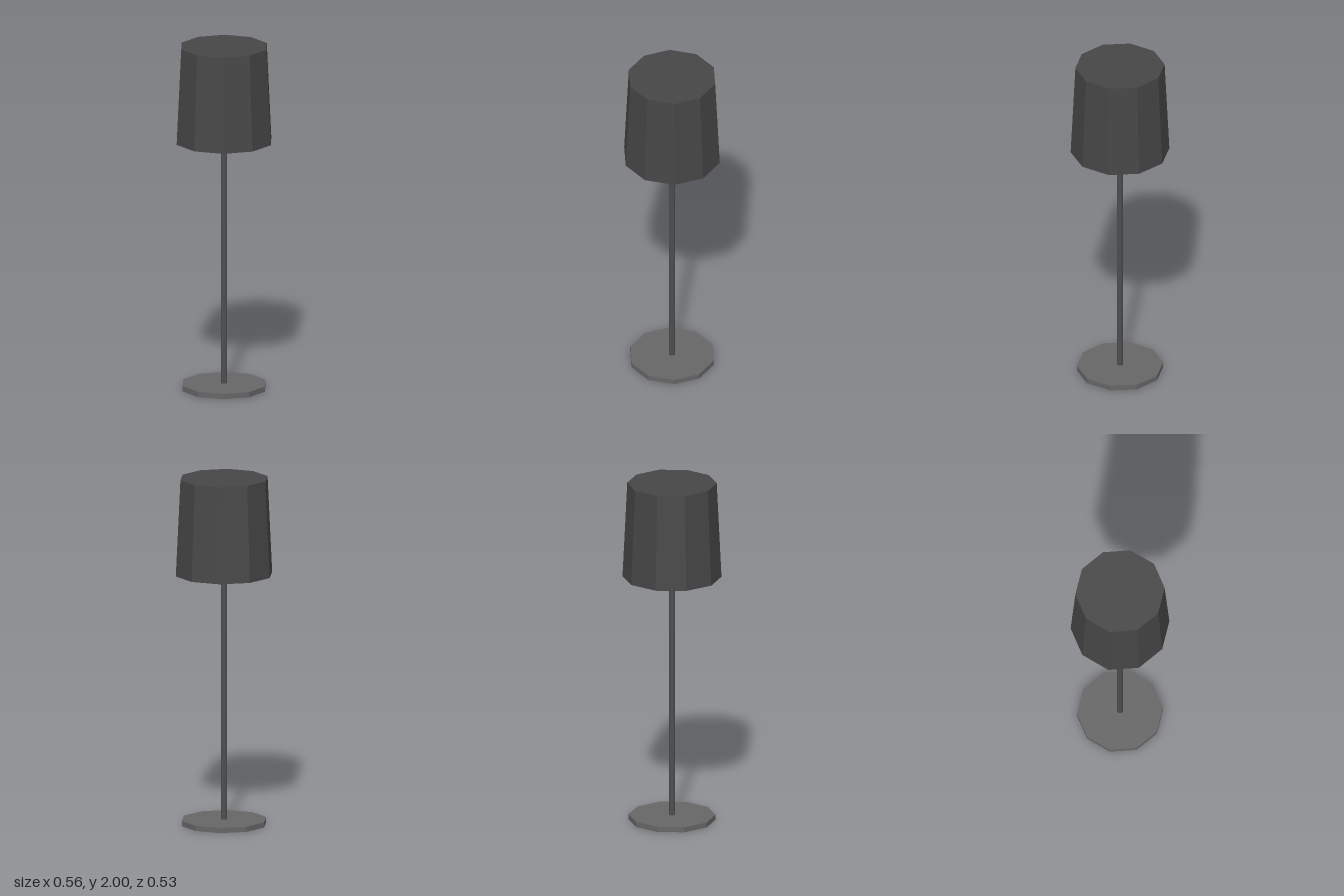
import * as THREE from 'three';

const SIDES = 10;

// Faceted solid of revolution with corners on the x axis
function turned(name, color, profile) {
  const points = profile.map(([r, y]) => new THREE.Vector2(r, y));
  const geometry = new THREE.LatheGeometry(points, SIDES).rotateY(Math.PI / 2);
  const mesh = new THREE.Mesh(geometry, new THREE.MeshStandardMaterial({ color, flatShading: true }));
  mesh.name = name;
  return mesh;
}

export function createModel() {
  const lamp = new THREE.Group();
  lamp.name = 'floorLamp';

  // Flat foot plate
  lamp.add(turned('base', 0x666666, [[0, 0], [0.245, 0], [0.245, 0.03], [0, 0.03]]));

  // Slim pole running up inside the shade
  lamp.add(turned('pole', 0x4e4e4e, [[0.018, 0.03], [0.018, 1.975]]));

  // Hollow tapered shade: inner ceiling, inner wall, rim, outer wall, closed top
  lamp.add(turned('shade', 0x464646, [
    [0, 1.975], [0.23, 1.975], [0.255, 1.445], [0.28, 1.445], [0.253, 2], [0, 2],
  ]));

  return lamp;
}
